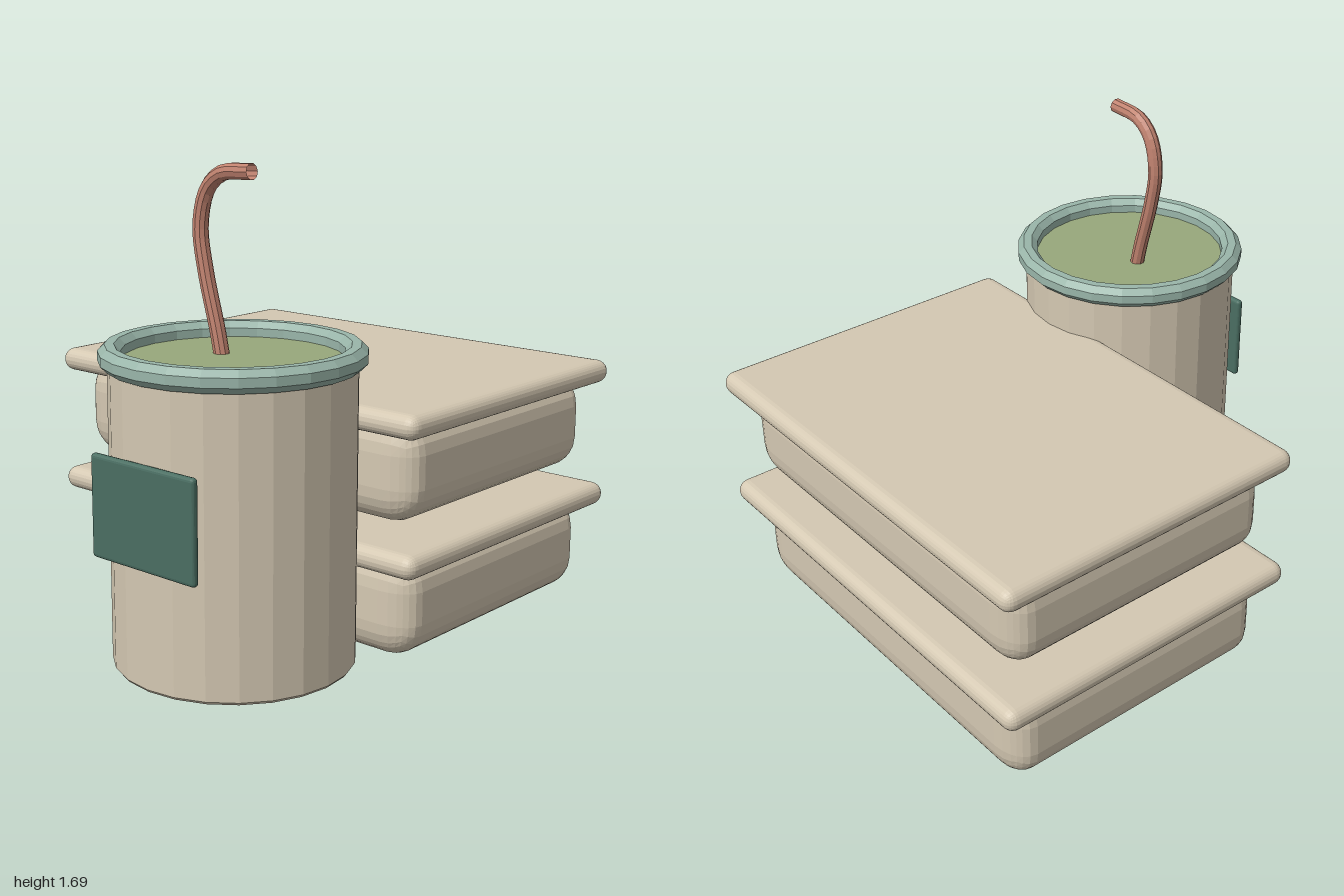
import * as THREE from 'three';
import { RoundedBoxGeometry } from 'three/addons/geometries/RoundedBoxGeometry.js';

function material(name, color) {
  const m = new THREE.MeshStandardMaterial({ color, flatShading: true });
  m.name = name;
  return m;
}

export function createModel() {
  const cream = material('cream', 0xd4c8b2);
  const green = material('dark green', 0x4a6e62);
  const sage = material('sage', 0x9ab6aa);
  const drink = material('matcha', 0x98a87c);
  const clay = material('terracotta', 0xc0826f);
  drink.side = clay.side = THREE.DoubleSide;

  const model = new THREE.Group();
  model.name = 'lunchSet';

  function add(parent, name, geometry, mat, x = 0, y = 0, z = 0) {
    const mesh = new THREE.Mesh(geometry, mat);
    mesh.name = name;
    mesh.position.set(x, y, z);
    parent.add(mesh);
    return mesh;
  }

  // Two stacked food boxes, each with an overhanging lid and a front tab
  for (const [i, y] of [0, 0.477].entries()) {
    const box = new THREE.Group();
    box.name = i ? 'upperBox' : 'lowerBox';
    box.position.y = y;
    model.add(box);
    const body = new RoundedBoxGeometry(1.59, 0.37, 1.6, 3, 0.125);
    body.scale(1, 1, 1.1 / 1.6);
    add(box, 'boxBody', body, cream, 0, 0.185, -0.38);
    add(box, 'lid', new RoundedBoxGeometry(1.71, 0.086, 1.235, 3, 0.042), cream, 0, 0.367, -0.3825);
    add(box, 'tab', new RoundedBoxGeometry(0.42, 0.2, 0.075, 2, 0.018), green, 0, 0.27, 0.188);
  }

  // Cup
  const cup = new THREE.Group();
  cup.name = 'cup';
  cup.position.set(0.368, 0, 0.558);
  model.add(cup);
  const wall = [[0, 0.045], [0.4, 0.045], [0.408, 0.055], [0.408, 1.06], [0, 1.06]];
  add(cup, 'cupBody', new THREE.LatheGeometry(wall.map(([r, y]) => new THREE.Vector2(r, y)), 24), cream);

  // Octagonal rim ring
  const ring = [];
  for (let i = 0; i <= 8; i++) {
    const a = (i + 0.5) * Math.PI / 4;
    ring.push(new THREE.Vector2(0.4 + 0.041 * Math.cos(a), 1.082 + 0.041 * Math.sin(a)));
  }
  add(cup, 'rim', new THREE.LatheGeometry(ring, 24), sage);

  const surface = new THREE.CircleGeometry(0.385, 24);
  surface.rotateX(-Math.PI / 2);
  add(cup, 'drinkSurface', surface, drink, 0, 1.068, 0);

  add(cup, 'label', new RoundedBoxGeometry(0.455, 0.345, 0.028, 2, 0.013), green, 0, 0.624, 0.411);

  // Bent straw
  const path = new THREE.CatmullRomCurve3([
    [0.285, 1.06], [0.267, 1.14], [0.213, 1.34], [0.193, 1.48],
    [0.225, 1.6], [0.29, 1.655], [0.42, 1.667],
  ].map(([x, y]) => new THREE.Vector3(x, y, 0.525)));
  add(model, 'straw', new THREE.TubeGeometry(path, 24, 0.027, 10, false), clay);

  return model;
}
